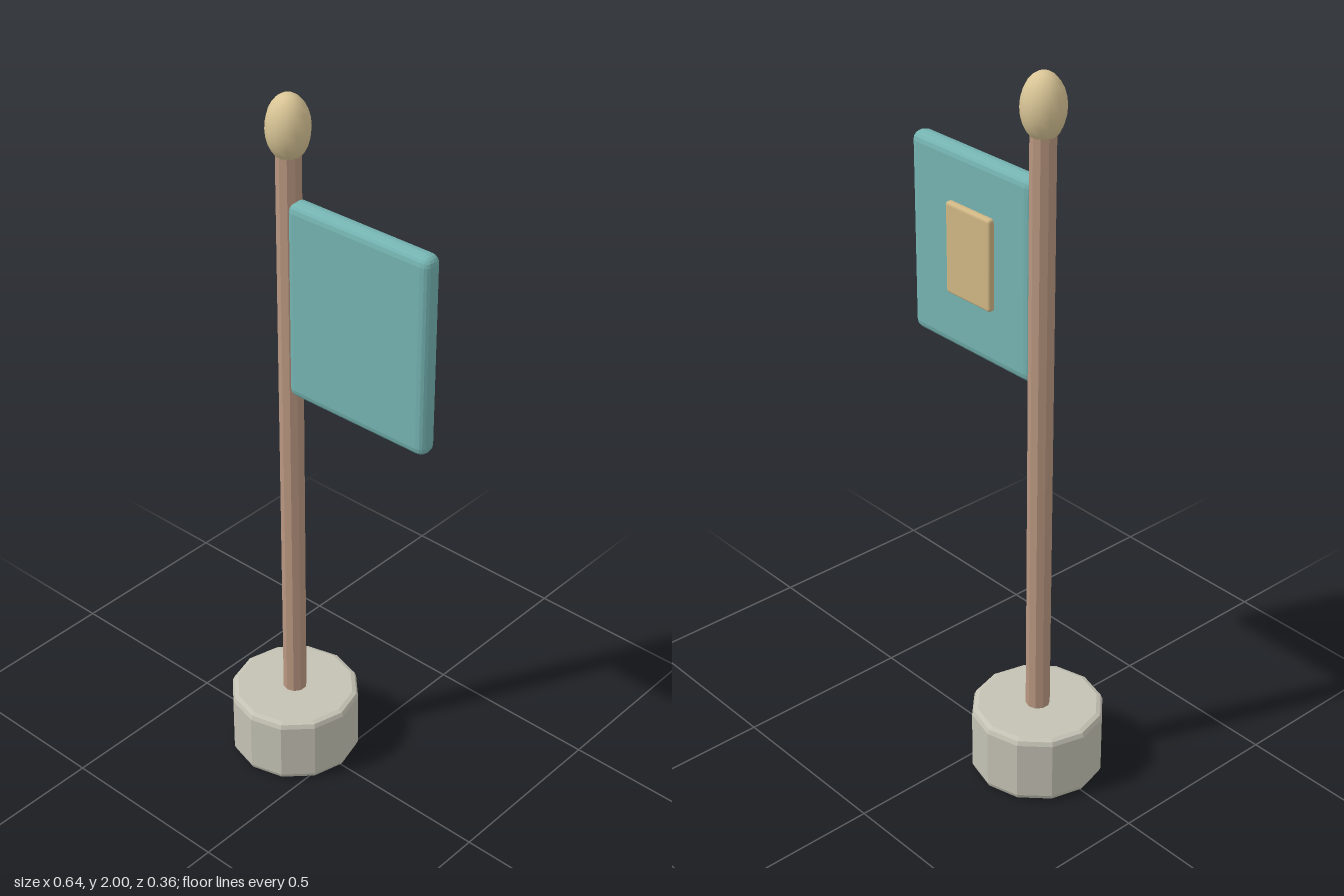
import * as THREE from 'three';
import { RoundedBoxGeometry } from 'three/addons/geometries/RoundedBoxGeometry.js';

const POLE_X = -0.14;

export function createModel() {
  const model = new THREE.Group();
  model.name = 'flagOnPole';

  function add(name, geometry, color, [x, y, z], flatShading = true) {
    const mesh = new THREE.Mesh(geometry, new THREE.MeshStandardMaterial({ color, flatShading }));
    mesh.name = name;
    mesh.position.set(x, y, z);
    model.add(mesh);
    return mesh;
  }

  // Box with softly bevelled edges, given by its min and max corners
  function slab(name, color, min, max, bevel) {
    const size = max.map((v, i) => v - min[i]);
    const centre = max.map((v, i) => (v + min[i]) / 2);
    add(name, new RoundedBoxGeometry(...size, 2, bevel), color, centre);
  }

  // Twelve-sided stone base with chamfered rims
  const baseProfile = [
    [0, 0], [0.165, 0], [0.177, 0.005], [0.182, 0.017],
    [0.182, 0.183], [0.177, 0.195], [0.165, 0.2], [0, 0.2],
  ].map(([r, y]) => new THREE.Vector2(r, y));
  add('base', new THREE.LatheGeometry(baseProfile, 12), 0xc4c2b4, [POLE_X, 0, 0]);

  // Wooden pole, sunk into base and finial
  add('pole', new THREE.CylinderGeometry(0.033, 0.033, 1.75, 10), 0xb89680, [POLE_X, 0.985, 0]);

  // Egg-shaped finial
  const finial = new THREE.SphereGeometry(1, 14, 12).scale(0.057, 0.087, 0.057);
  add('finial', finial, 0xd9c596, [POLE_X, 1.913, 0], false);

  // Stiff flag, with a small panel on its back
  slab('flag', 0x74b3b1, [-0.13, 1.18, -0.029], [0.32, 1.73, 0.028], 0.025);
  slab('flagPanel', 0xd0b684, [0.002, 1.34, -0.046], [0.167, 1.59, -0.024], 0.008);

  return model;
}
